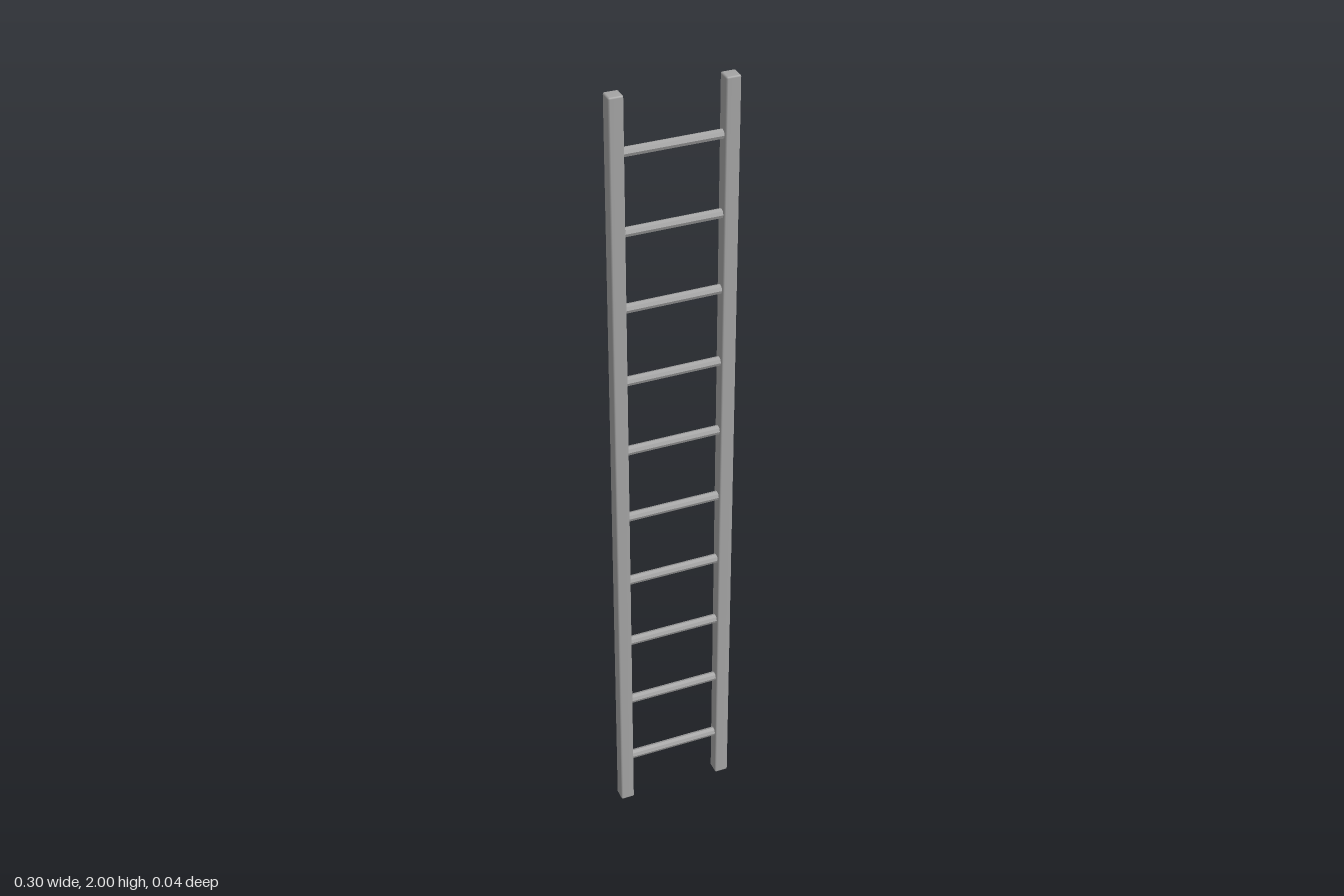
import * as THREE from 'three';
import { RoundedBoxGeometry } from 'three/addons/geometries/RoundedBoxGeometry.js';
import { mergeVertices } from 'three/addons/utils/BufferGeometryUtils.js';

const RAIL_X = 0.1335;
const RUNGS = 10;

export function createModel() {
  const ladder = new THREE.Group();
  ladder.name = 'ladder';
  const metal = new THREE.MeshStandardMaterial({ name: 'grey metal', color: 0xa3a3a3 });

  // Square rails with softly bevelled, smoothly shaded edges
  let railGeometry = new RoundedBoxGeometry(0.035, 2, 0.035, 1, 0.004);
  railGeometry.deleteAttribute('normal');
  railGeometry.deleteAttribute('uv');
  railGeometry = mergeVertices(railGeometry, 1e-5);
  railGeometry.computeVertexNormals();
  for (const side of [-1, 1]) {
    const rail = new THREE.Mesh(railGeometry, metal);
    rail.name = side > 0 ? 'leftRail' : 'rightRail';
    rail.position.set(side * RAIL_X, 1, 0);
    ladder.add(rail);
  }

  // Eight-sided rungs with faceted sides
  const rungGeometry = new THREE.CylinderGeometry(0.0115, 0.0115, 2 * RAIL_X, 8)
    .rotateZ(Math.PI / 2)
    .toNonIndexed();
  rungGeometry.computeVertexNormals();
  for (let i = 0; i < RUNGS; i++) {
    const rung = new THREE.Mesh(rungGeometry, metal);
    rung.name = `rung${i + 1}`;
    rung.position.y = 0.135 + i * 0.192;
    ladder.add(rung);
  }
  return ladder;
}
